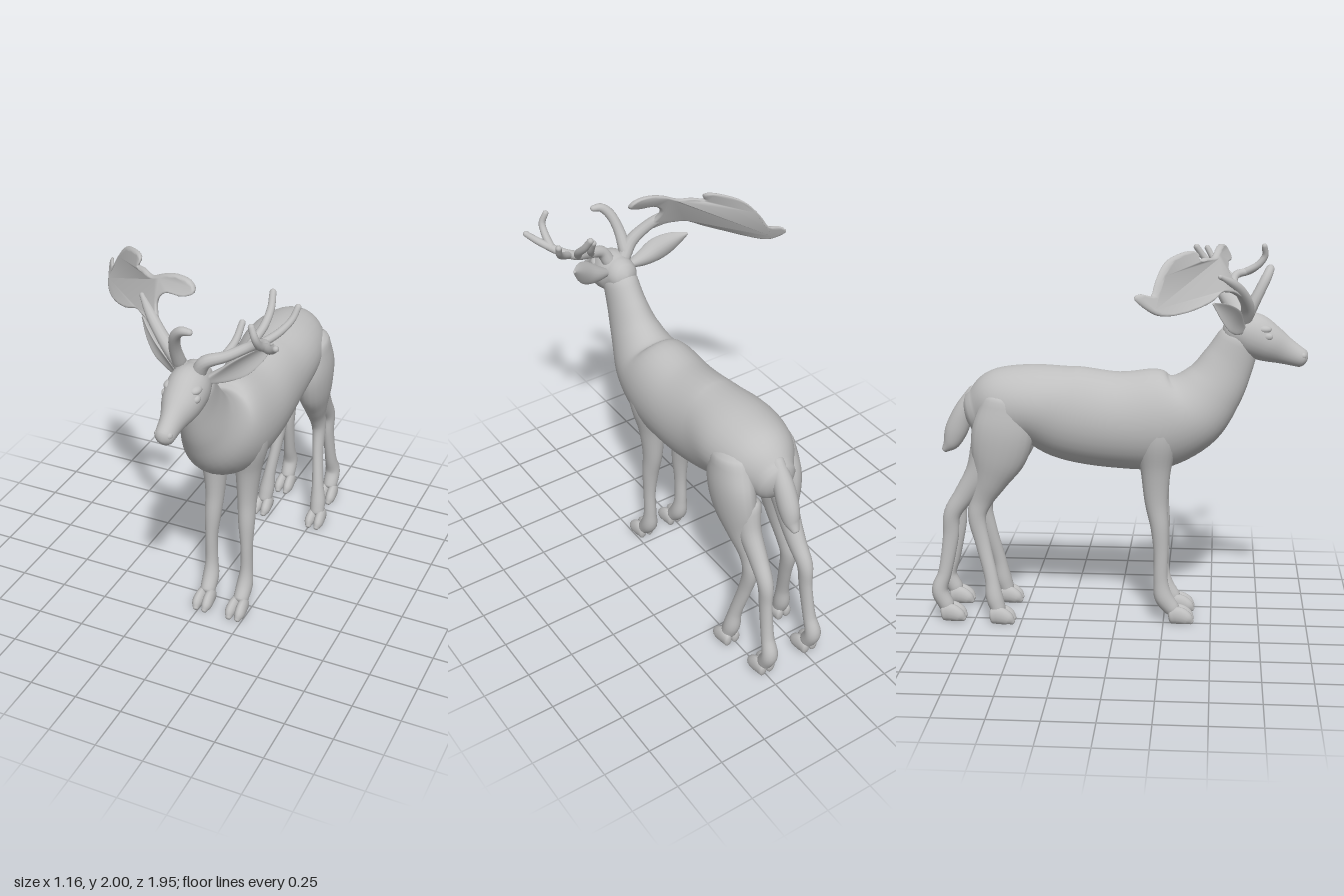
import * as THREE from 'three';
import { mergeVertices } from 'three/addons/utils/BufferGeometryUtils.js';

const CX = 0.11; // the animal's own middle plane

// Smooth skin through rows of [x, y, z, sideRadius, otherRadius], with rounded ends.
// ref is the sideways direction of the rings; cup bends the ring edges forward.
function loft(rows, { ref = [1, 0, 0], round = 0.6, cup = 0, sides = 20, per = 5 } = {}) {
  const path = new THREE.CatmullRomCurve3(rows.map(r => new THREE.Vector3(r[0], r[1], r[2])));
  const size = new THREE.CatmullRomCurve3(
    rows.map(r => new THREE.Vector3(r[3], r[4] ?? r[3], 0)), false, 'catmullrom', 0.5);
  const n = (rows.length - 1) * per, rings = [];
  const add = (u, k, push) => {
    const t = path.getTangent(u), r = size.getPoint(u);
    const c = path.getPoint(u).addScaledVector(t, push * Math.min(r.x, r.y) * round);
    rings.push({ c, t, a: r.x * k, b: r.y * k });
  };
  const caps = [1.5, 1.2, 0.8, 0.4];
  caps.forEach(f => add(0, Math.cos(f), -Math.sin(f)));
  for (let i = 0; i <= n; i++) add(i / n, 1, 0);
  [...caps].reverse().forEach(f => add(1, Math.cos(f), Math.sin(f)));

  const pos = [], idx = [];
  for (const { c, t, a, b } of rings) {
    const s = new THREE.Vector3(...ref);
    s.addScaledVector(t, -s.dot(t)).normalize();
    const u = new THREE.Vector3().crossVectors(t, s);
    for (let j = 0; j < sides; j++) {
      const q = j / sides * Math.PI * 2, co = Math.cos(q);
      const p = c.clone().addScaledVector(s, co * a)
        .addScaledVector(u, Math.sin(q) * b + cup * a * co * co);
      pos.push(p.x, Math.max(0, p.y), p.z);
    }
  }
  const last = rings.length - 1;
  for (let i = 0; i < last; i++) for (let j = 0; j < sides; j++) {
    const k = (j + 1) % sides, a = i * sides, b = a + sides;
    idx.push(a + j, a + k, b + k, a + j, b + k, b + j);
  }
  for (let j = 1; j < sides - 1; j++) {
    idx.push(0, j + 1, j, last * sides, last * sides + j, last * sides + j + 1);
  }
  const g = new THREE.BufferGeometry();
  g.setAttribute('position', new THREE.Float32BufferAttribute(pos, 3));
  g.setIndex(idx);
  g.computeVertexNormals();
  return g;
}

export function createModel() {
  const model = new THREE.Group();
  const grey = new THREE.MeshStandardMaterial({ color: 0xbfbfbf });
  grey.name = 'stone grey';
  const add = (name, geo, parent = model) => {
    const m = new THREE.Mesh(geo, grey);
    m.name = name;
    parent.add(m);
    return m;
  };
  const ball = (name, x, y, z, rx, ry, rz) => {
    const m = add(name, new THREE.SphereGeometry(1, 16, 12));
    m.position.set(x, y, z);
    m.scale.set(rx, ry, rz);
  };

  // Trunk and neck in one skin, rump to throat
  add('body', loft([
    [0.10, 1.10, -0.73, 0.11, 0.13],
    [0.10, 1.135, -0.62, 0.185, 0.195],
    [0.10, 1.155, -0.45, 0.215, 0.205],
    [0.105, 1.108, -0.25, 0.203, 0.248],
    [0.11, 1.073, 0, 0.207, 0.253],
    [0.11, 1.085, 0.22, 0.20, 0.262],
    [0.11, 1.13, 0.37, 0.175, 0.215],
    [0.11, 1.25, 0.49, 0.125, 0.165],
    [0.113, 1.38, 0.565, 0.095, 0.135],
    [0.115, 1.50, 0.62, 0.085, 0.11],
  ], { sides: 32, per: 6 }));

  add('head', loft([
    [0.115, 1.55, 0.60, 0.08, 0.085],
    [0.115, 1.53, 0.68, 0.10, 0.115],
    [0.115, 1.487, 0.77, 0.092, 0.10],
    [0.115, 1.445, 0.86, 0.058, 0.07],
    [0.115, 1.412, 0.935, 0.047, 0.05],
  ], { sides: 24, per: 6, round: 0.8 }));

  add('tail', loft([
    [0.10, 1.21, -0.73, 0.04, 0.05],
    [0.10, 1.11, -0.80, 0.05, 0.055],
    [0.10, 1.01, -0.845, 0.05, 0.06],
    [0.10, 0.94, -0.875, 0.04, 0.045],
    [0.10, 0.90, -0.91, 0.02, 0.018],
  ]));

  // Leg rows are [outward offset, y, z, half width, half depth]
  const legs = {
    frontLeg: { hoof: [0.095, 0.34], rows: [
      [0.11, 1.14, 0.22, 0.08, 0.12], [0.11, 1.0, 0.21, 0.085, 0.115],
      [0.095, 0.84, 0.205, 0.066, 0.08], [0.09, 0.66, 0.208, 0.05, 0.06],
      [0.095, 0.52, 0.227, 0.043, 0.047], [0.10, 0.38, 0.235, 0.032, 0.038],
      [0.10, 0.23, 0.235, 0.033, 0.038], [0.098, 0.14, 0.25, 0.042, 0.048],
      [0.096, 0.075, 0.295, 0.04, 0.042]] },
    foreHindLeg: { hoof: [0.165, -0.60], rows: [
      [0.12, 1.18, -0.56, 0.09, 0.13], [0.135, 1.04, -0.58, 0.092, 0.16],
      [0.13, 0.90, -0.61, 0.085, 0.145], [0.12, 0.77, -0.655, 0.065, 0.092],
      [0.112, 0.66, -0.705, 0.045, 0.062], [0.115, 0.57, -0.73, 0.038, 0.048],
      [0.125, 0.42, -0.70, 0.03, 0.039], [0.148, 0.24, -0.655, 0.032, 0.036],
      [0.158, 0.14, -0.64, 0.042, 0.045], [0.163, 0.075, -0.62, 0.04, 0.04]] },
    rearHindLeg: { hoof: [0.135, -0.865], rows: [
      [0.11, 0.95, -0.67, 0.07, 0.085], [0.115, 0.82, -0.71, 0.055, 0.07],
      [0.115, 0.69, -0.79, 0.045, 0.055], [0.12, 0.58, -0.86, 0.038, 0.045],
      [0.122, 0.46, -0.87, 0.03, 0.042], [0.13, 0.26, -0.905, 0.032, 0.036],
      [0.135, 0.16, -0.935, 0.042, 0.043], [0.135, 0.08, -0.90, 0.04, 0.042]] },
  };

  for (const side of [-1, 1]) {
    const label = side > 0 ? 'left' : 'right';
    for (const [name, { rows, hoof: [off, z] }] of Object.entries(legs)) {
      const leg = new THREE.Group();
      leg.name = `${label} ${name}`;
      model.add(leg);
      add('limb', loft(rows.map(([o, ...r]) => [CX + side * o, ...r])), leg);
      // Cloven hoof: two toes with flat soles
      for (const toe of [-1, 1]) {
        const x = CX + side * off + toe * 0.024;
        add('toe', loft([
          [x, 0.04, z - 0.05, 0.022, 0.04], [x, 0.045, z - 0.01, 0.028, 0.048],
          [x + toe * 0.003, 0.03, z + 0.035, 0.026, 0.036],
          [x, 0.012, z + 0.06, 0.015, 0.016]], { sides: 14 }), leg);
      }
    }

    // Cupped leaf-shaped ear
    const X = d => 0.115 + side * d;
    add(`${label} ear`, loft([
      [X(0.07), 1.565, 0.63, 0.022, 0.022], [X(0.13), 1.595, 0.60, 0.044, 0.02],
      [X(0.20), 1.64, 0.57, 0.058, 0.014], [X(0.27), 1.69, 0.53, 0.042, 0.01],
      [X(0.33), 1.732, 0.49, 0.008, 0.006],
    ], { ref: [-side * 0.4, 0.75, 0.5], cup: side * 0.5 }));

    ball(`${label} eye`, X(0.078), 1.53, 0.765, 0.018, 0.02, 0.026);
    ball(`${label} brow`, X(0.062), 1.565, 0.745, 0.03, 0.022, 0.04);
    ball(`${label} nostril`, X(0.025), 1.425, 0.945, 0.02, 0.02, 0.02);
  }

  // Branching antler on the model's left
  const branched = new THREE.Group();
  branched.name = 'branched antler';
  model.add(branched);
  const tine = (name, rows, parent, ref) =>
    add(name, loft(rows, { sides: 12, round: 1, ref }), parent);
  tine('beam', [[0.15, 1.60, 0.66, 0.036], [0.19, 1.67, 0.67, 0.032], [0.28, 1.705, 0.64, 0.026],
    [0.38, 1.755, 0.59, 0.024], [0.45, 1.79, 0.605, 0.022], [0.49, 1.805, 0.67, 0.02],
    [0.53, 1.83, 0.72, 0.018], [0.565, 1.86, 0.75, 0.015]], branched, [0, 1, 0.2]);
  [
    [[0.27, 1.70, 0.64, 0.02], [0.30, 1.76, 0.58, 0.018], [0.31, 1.83, 0.53, 0.015]],
    [[0.37, 1.75, 0.59, 0.021], [0.405, 1.82, 0.51, 0.02], [0.41, 1.88, 0.44, 0.018],
      [0.40, 1.94, 0.395, 0.016]],
    [[0.42, 1.77, 0.59, 0.02], [0.49, 1.82, 0.53, 0.018], [0.53, 1.87, 0.48, 0.016],
      [0.545, 1.92, 0.45, 0.015]],
    [[0.48, 1.80, 0.65, 0.02], [0.475, 1.84, 0.72, 0.019], [0.47, 1.89, 0.755, 0.017],
      [0.45, 1.94, 0.75, 0.015]],
  ].forEach(rows => tine('tine', rows, branched));

  // Palmate antler on the model's right: stem, brow tine and a bent blade
  const palmate = new THREE.Group();
  palmate.name = 'palmate antler';
  model.add(palmate);
  tine('stem', [[0.075, 1.60, 0.65, 0.036], [0.02, 1.68, 0.66, 0.034], [-0.05, 1.75, 0.635, 0.03],
    [-0.12, 1.81, 0.59, 0.026], [-0.20, 1.86, 0.52, 0.012]], palmate, [0, 0, 1]);
  tine('brow tine', [[0.055, 1.64, 0.66, 0.034], [0.06, 1.74, 0.71, 0.028], [0.085, 1.82, 0.75, 0.026],
    [0.125, 1.86, 0.77, 0.022], [0.165, 1.865, 0.775, 0.016]], palmate, [0, 0, 1]);

  const outline = [[-0.02, 1.71], [-0.127, 1.775], [-0.18, 1.79], [-0.23, 1.795], [-0.30, 1.765],
    [-0.365, 1.745], [-0.45, 1.725], [-0.52, 1.722], [-0.55, 1.75], [-0.57, 1.80], [-0.555, 1.818],
    [-0.52, 1.805], [-0.48, 1.87], [-0.43, 1.935], [-0.38, 1.97], [-0.30, 1.99], [-0.265, 1.98],
    [-0.275, 1.945], [-0.22, 1.95], [-0.16, 1.945], [-0.09, 1.975], [-0.02, 1.992], [0.05, 1.985],
    [0.082, 1.95], [0.03, 1.925], [-0.06, 1.92], [-0.105, 1.87], [-0.085, 1.80], [-0.03, 1.74]];
  const shape = new THREE.Shape(new THREE.SplineCurve(
    [...outline, outline[0]].map(p => new THREE.Vector2(...p))).getPoints(84).slice(0, -1));
  let blade = new THREE.ExtrudeGeometry(shape, {
    depth: 0.008, bevelEnabled: true, bevelThickness: 0.012, bevelSize: 0.01, bevelOffset: -0.004,
    bevelSegments: 3 });
  const p = blade.attributes.position;
  for (let i = 0; i < p.count; i++) { // sweep the blade backwards and lean its top edge back
    const x = p.getX(i), y = p.getY(i);
    p.setZ(i, p.getZ(i) + 0.575 + 0.186 * x - 1.135 * x * x + (1.88 - y) * 0.5);
  }
  blade.deleteAttribute('uv');
  blade.deleteAttribute('normal');
  blade = mergeVertices(blade, 1e-4);
  blade.computeVertexNormals();
  add('blade', blade, palmate);

  return model;
}
